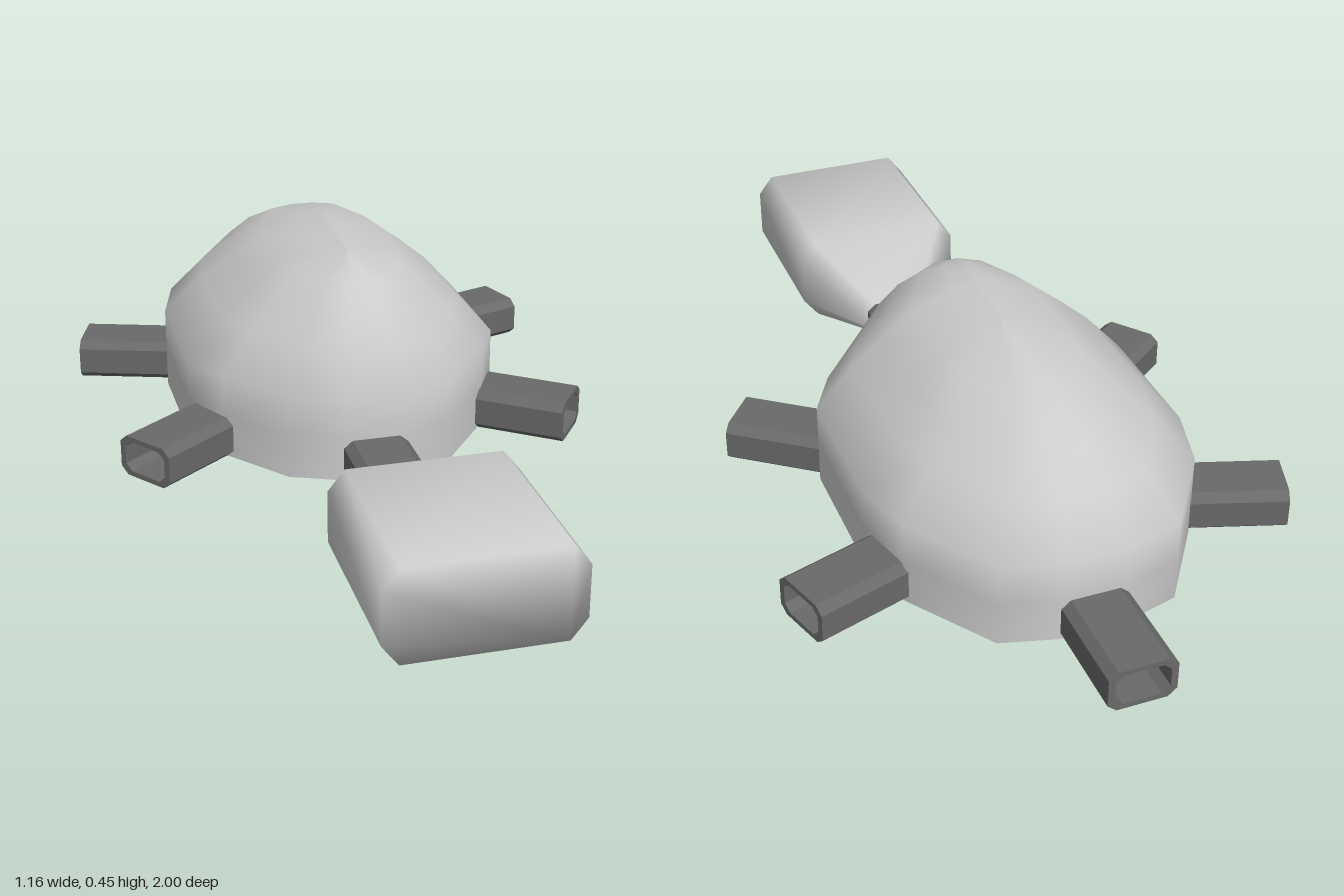
import * as THREE from 'three';

const grey = new THREE.MeshStandardMaterial({ color: 0xcccccc, side: THREE.DoubleSide });
const dark = new THREE.MeshStandardMaterial({ color: 0x696969 });

// Skin equal-length rings of [x, y, z] points, with shared vertices for smooth shading
function loft(rings, capStart, capEnd) {
  const n = rings[0].length, index = [];
  for (let r = 0; r < rings.length - 1; r++) {
    for (let i = 0; i < n; i++) {
      const a = r * n + i, b = r * n + (i + 1) % n;
      index.push(a, b, b + n, a, b + n, a + n);
    }
  }
  const last = (rings.length - 1) * n;
  for (let i = 1; i < n - 1; i++) {
    if (capStart) index.push(0, i + 1, i);
    if (capEnd) index.push(last, last + i, last + i + 1);
  }
  const g = new THREE.BufferGeometry();
  g.setAttribute('position', new THREE.Float32BufferAttribute(rings.flat(2), 3));
  g.setIndex(index);
  g.computeVertexNormals();
  return g;
}

function add(parent, name, geometry, material) {
  const m = new THREE.Mesh(geometry, material);
  m.name = name;
  parent.add(m);
  return m;
}

// Bevelled rectangle, counter-clockwise
function bevelled(path, w, y0, y1, cx, cy) {
  const pts = [[w - cx, y0], [w, y0 + cy], [w, y1 - cy], [w - cx, y1],
    [cx - w, y1], [-w, y1 - cy], [-w, y0 + cy], [cx - w, y0]];
  path.setFromPoints(pts.map(p => new THREE.Vector2(...p)));
  return path;
}

// Hollow limb ending at (x, z), pointing outwards along (dx, dz)
function limb(parent, name, x, z, dx, dz, length) {
  const shape = bevelled(new THREE.Shape(), 0.075, 0, 0.097, 0.02, 0.017);
  shape.holes.push(bevelled(new THREE.Path(), 0.06, 0.012, 0.085, 0.018, 0.015));
  const g = new THREE.ExtrudeGeometry(shape, { depth: length, bevelEnabled: false });
  g.translate(0, 0, -length);
  const m = add(parent, name, g, dark);
  m.position.set(x, 0, z);
  m.rotation.y = Math.atan2(dx, dz);
}

export function createModel() {
  const group = new THREE.Group();

  // Shell outline seen from above, one half then mirrored
  const half = [[0.07, 0.23], [0.19, 0.18], [0.31, 0.03], [0.37, -0.08], [0.37, -0.4],
    [0.33, -0.55], [0.2, -0.74], [0.07, -0.775]];
  const outline = [...half, ...half.map(([x, z]) => [-x, z]).reverse()];
  // Levels: height, half width, front z, back z
  const levels = [[0, 0.37, 0.23, -0.775], [0.1, 0.37, 0.23, -0.775], [0.195, 0.37, 0.23, -0.775],
    [0.29, 0.285, 0.19, -0.7], [0.355, 0.212, 0.15, -0.62], [0.412, 0.144, 0.085, -0.5],
    [0.44, 0.05, 0.035, -0.36], [0.454, 0, -0.03, -0.26]];
  const rings = levels.map(([y, w, zf, zb]) => outline.map(([x, z]) =>
    [x * w / 0.37, y, zb + (z + 0.775) / 1.005 * (zf - zb)]));
  add(group, 'shell', loft(rings), grey);

  // Flat belly
  const belly = new THREE.ShapeGeometry(new THREE.Shape(outline.map(p => new THREE.Vector2(...p))));
  belly.rotateX(Math.PI / 2);
  add(group, 'belly', belly, grey);

  // Head: tapers back to the neck, flat at the front
  const section = (z, w, y0, y1, cx, cy) =>
    bevelled(new THREE.Path(), w, y0, y1, cx, cy).getPoints().slice(0, 8).map(p => [p.x, p.y, z]);
  const head = [section(0.455, 0.075, 0.015, 0.1, 0.015, 0.02),
    section(0.595, 0.203, 0.015, 0.22, 0.035, 0.045),
    section(1, 0.203, 0.015, 0.22, 0.035, 0.045)];
  add(group, 'head', loft(head, true, true), grey);

  // Neck, tail and four legs
  limb(group, 'neck', 0, 0.47, 0, 1, 0.3);
  limb(group, 'tail', 0, -1, 0, -1, 0.3);
  for (const [side, s] of [['left', 1], ['right', -1]]) {
    limb(group, side + 'FrontLeg', s * 0.505, 0.12, s * 0.8, 0.6, 0.3);
    limb(group, side + 'BackLeg', s * 0.555, -0.555, s * 0.95, -0.31, 0.3);
  }
  return group;
}
